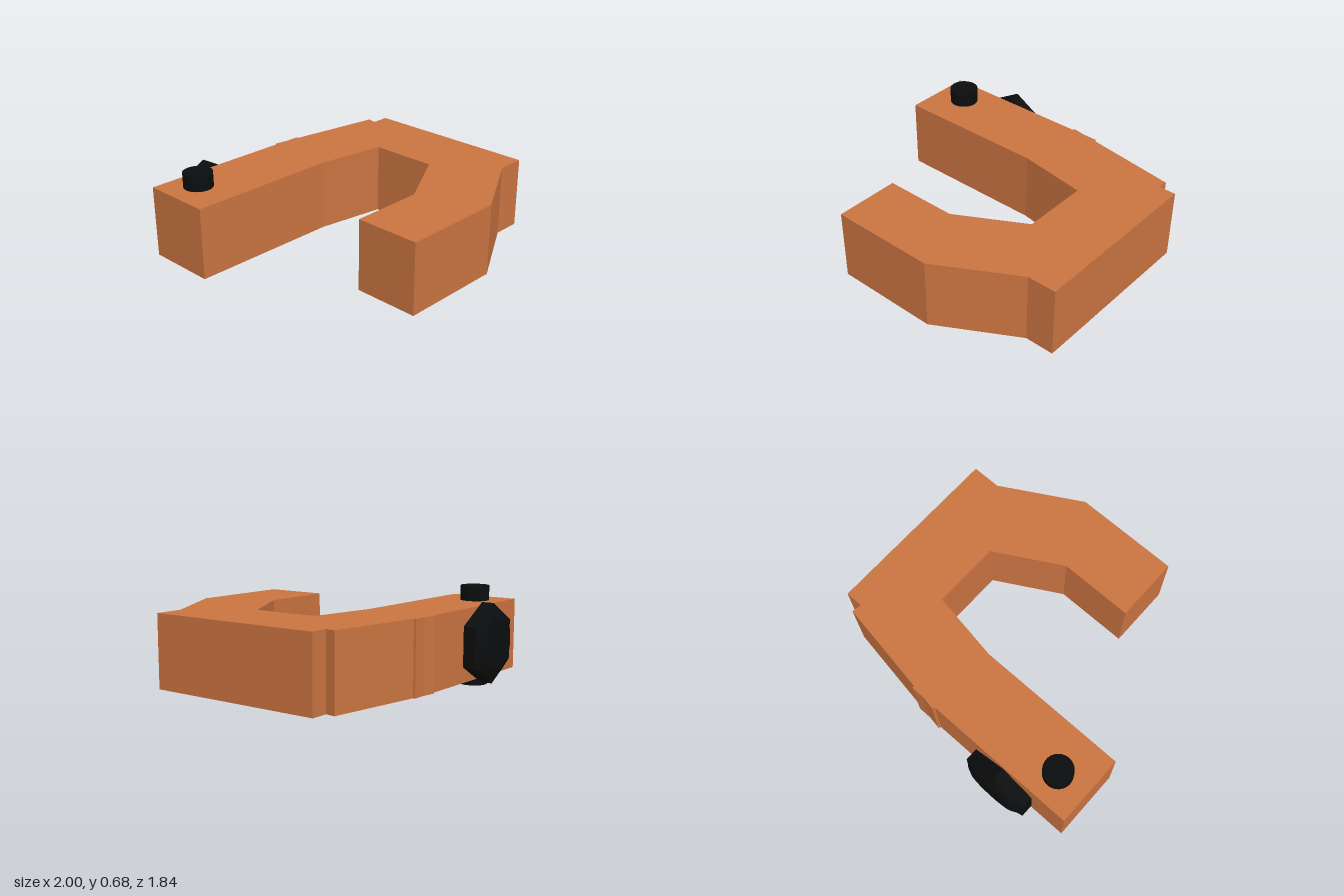
import * as THREE from 'three';

const orange = new THREE.MeshStandardMaterial({ color: 0xcb7441 });
orange.name = 'orange body';
const black = new THREE.MeshStandardMaterial({ color: 0x0c0d0e });
black.name = 'black hardware';

const BOTTOM = 0.1, HEIGHT = 0.48;

// Hooked body: outline in x, z, extruded upwards
function bodyGeometry() {
  const outline = [
    [-1, -0.79], [0.055, -0.79], [0.065, -0.805], [0.155, -0.79], [0.25, -0.79], [0.25, -0.775],
    [0.89, -0.675], [0.88, -0.61], [1, -0.61], [1, 0.615], [0.805, 0.615], [0.28, 0.915],
    [-0.43, 0.915], [-0.43, 0.475], [0.07, 0.475], [0.515, 0.225], [0.515, -0.235],
    [0.04, -0.31], [-1, -0.31],
  ];
  const shape = new THREE.Shape(outline.map(([x, z]) => new THREE.Vector2(x, -z)));
  return new THREE.ExtrudeGeometry(shape, { depth: HEIGHT, bevelEnabled: false })
    .rotateX(-Math.PI / 2).translate(0, BOTTOM, 0);
}

// Hexagonal bolt head: a lathe squeezed to six sides, with a conical chamfer on its face
function boltHeadGeometry() {
  const profile = [[0, 0], [0.265, 0], [0.265, 0.085], [0.245, 0.085], [0.17, 0.12], [0, 0.12]];
  const geometry = new THREE.LatheGeometry(profile.map(([r, y]) => new THREE.Vector2(r, y)), 36);
  const pos = geometry.attributes.position;
  for (let i = 0; i < pos.count; i++) {
    const row = i % profile.length;
    if (row < 1 || row > 3) continue;
    const x = pos.getX(i), z = pos.getZ(i);
    const angle = Math.atan2(x, z) + Math.PI * 2 + 1e-6;
    const squeeze = Math.cos(Math.PI / 6) / Math.cos((angle % (Math.PI / 3)) - Math.PI / 6);
    const r = Math.hypot(x, z) * squeeze;
    const y = row === 3 ? 0.12 - (r - 0.17) * (0.035 / 0.075) : pos.getY(i);
    pos.setXYZ(i, x * squeeze, y, z * squeeze);
  }
  const faceted = geometry.toNonIndexed();
  faceted.computeVertexNormals();
  return faceted.rotateX(-Math.PI / 2);
}

export function createModel() {
  const group = new THREE.Group();
  group.name = 'hookedClamp';
  const add = (name, geometry, material, x = 0, y = 0, z = 0) => {
    const mesh = new THREE.Mesh(geometry, material);
    mesh.name = name;
    mesh.position.set(x, y, z);
    group.add(mesh);
  };

  add('hookBody', bodyGeometry(), orange);
  // Pin passing through the end of the back arm
  add('pivotPin', new THREE.CylinderGeometry(0.097, 0.097, 0.68, 40), black, -0.785, 0.34, -0.597);
  add('boltHead', boltHeadGeometry(), black, -0.522, 0.34, -0.8);
  return group;
}
